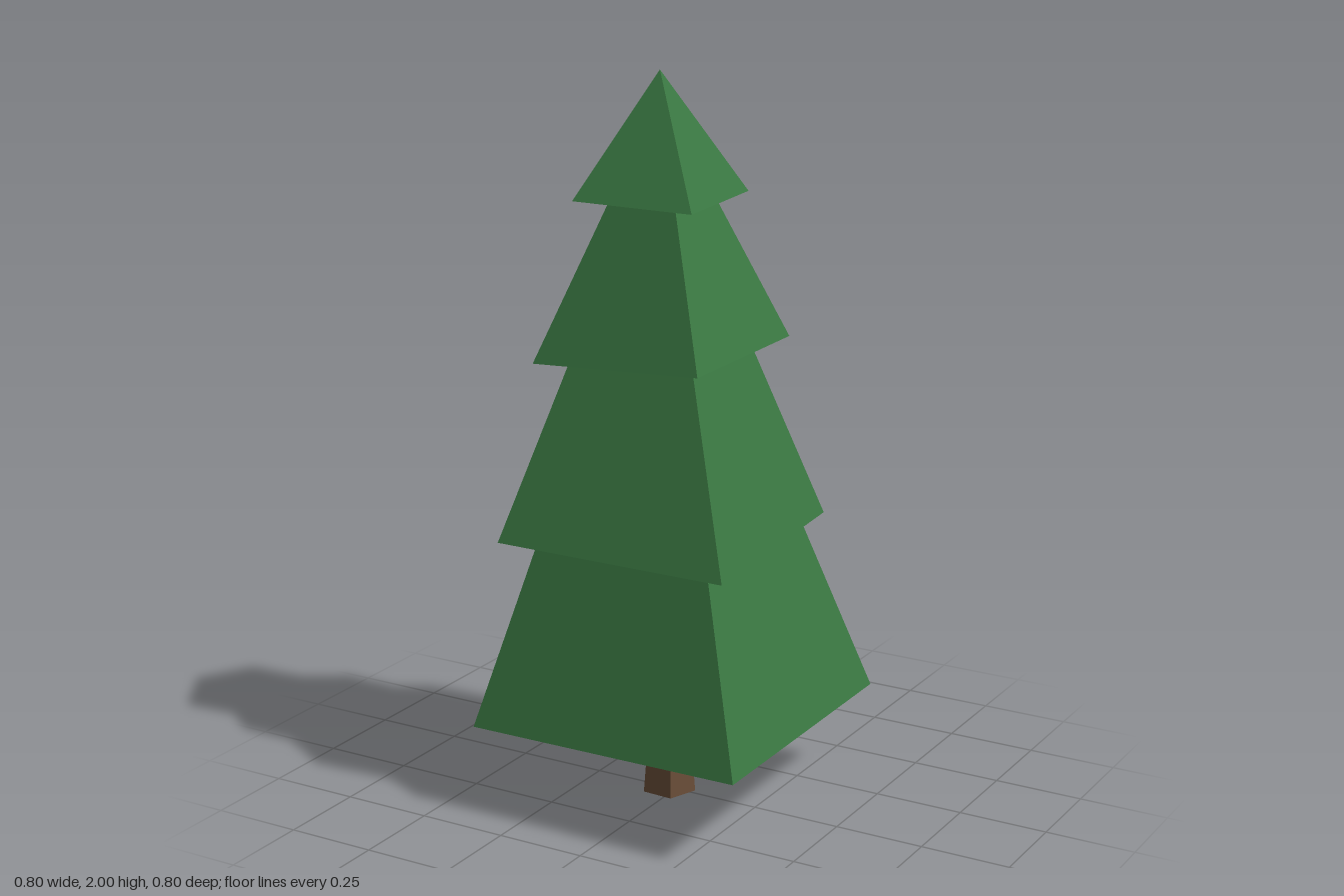
import * as THREE from 'three';

const needleGreen = new THREE.MeshStandardMaterial({ color: 0x3a7842 });
needleGreen.name = 'needleGreen';
const barkBrown = new THREE.MeshStandardMaterial({ color: 0x6a4e38 });
barkBrown.name = 'barkBrown';

// Faceted mesh: every face gets its own normal
function facetedMesh(geometry, material, name) {
  const flat = geometry.index ? geometry.toNonIndexed() : geometry;
  flat.computeVertexNormals();
  const mesh = new THREE.Mesh(flat, material);
  mesh.name = name;
  return mesh;
}

// Closed four-sided pyramid; corners run back right, front right, front left, back left of the base
function pyramid(corners, apex) {
  const geometry = new THREE.BufferGeometry();
  geometry.setAttribute('position', new THREE.Float32BufferAttribute([...corners, apex].flat(), 3));
  const index = [0, 2, 1, 0, 3, 2];
  for (let i = 0; i < 4; i++) index.push(i, (i + 1) % 4, 4);
  geometry.setIndex(index);
  return geometry;
}

// Branch tiers from bottom to top: slightly crooked base corners and the height of the tip
const tiers = [
  { tip: 1.69, corners: [[-0.4, 0.25, -0.4], [-0.4, 0.245, 0.4], [0.4, 0.25, 0.4], [0.4, 0.255, -0.4]] },
  { tip: 1.835, corners: [[-0.375, 0.78, -0.29], [-0.335, 0.768, 0.362], [0.32, 0.75, 0.32], [0.278, 0.76, -0.333]] },
  { tip: 1.94, corners: [[-0.275, 1.25, -0.23], [-0.278, 1.243, 0.267], [0.218, 1.268, 0.268], [0.22, 1.275, -0.226]] },
  { tip: 2.0, corners: [[-0.213, 1.677, -0.135], [-0.188, 1.672, 0.208], [0.152, 1.665, 0.183], [0.128, 1.67, -0.16]] },
];

export function createModel() {
  const tree = new THREE.Group();
  tree.name = 'pineTree';

  // Five-sided tapered trunk, its top tucked into the lowest tier
  const trunk = facetedMesh(
    new THREE.CylinderGeometry(0.051, 0.075, 0.3, 5, 1, false, THREE.MathUtils.degToRad(33)),
    barkBrown, 'trunk');
  trunk.position.set(-0.02, 0.15, 0.003);
  tree.add(trunk);

  // Stacked tiers, all leaning towards the same off-centre axis
  tiers.forEach(({ tip, corners }, i) => {
    tree.add(facetedMesh(pyramid(corners, [-0.03, tip, 0.03]), needleGreen, `branchTier${i + 1}`));
  });
  return tree;
}
